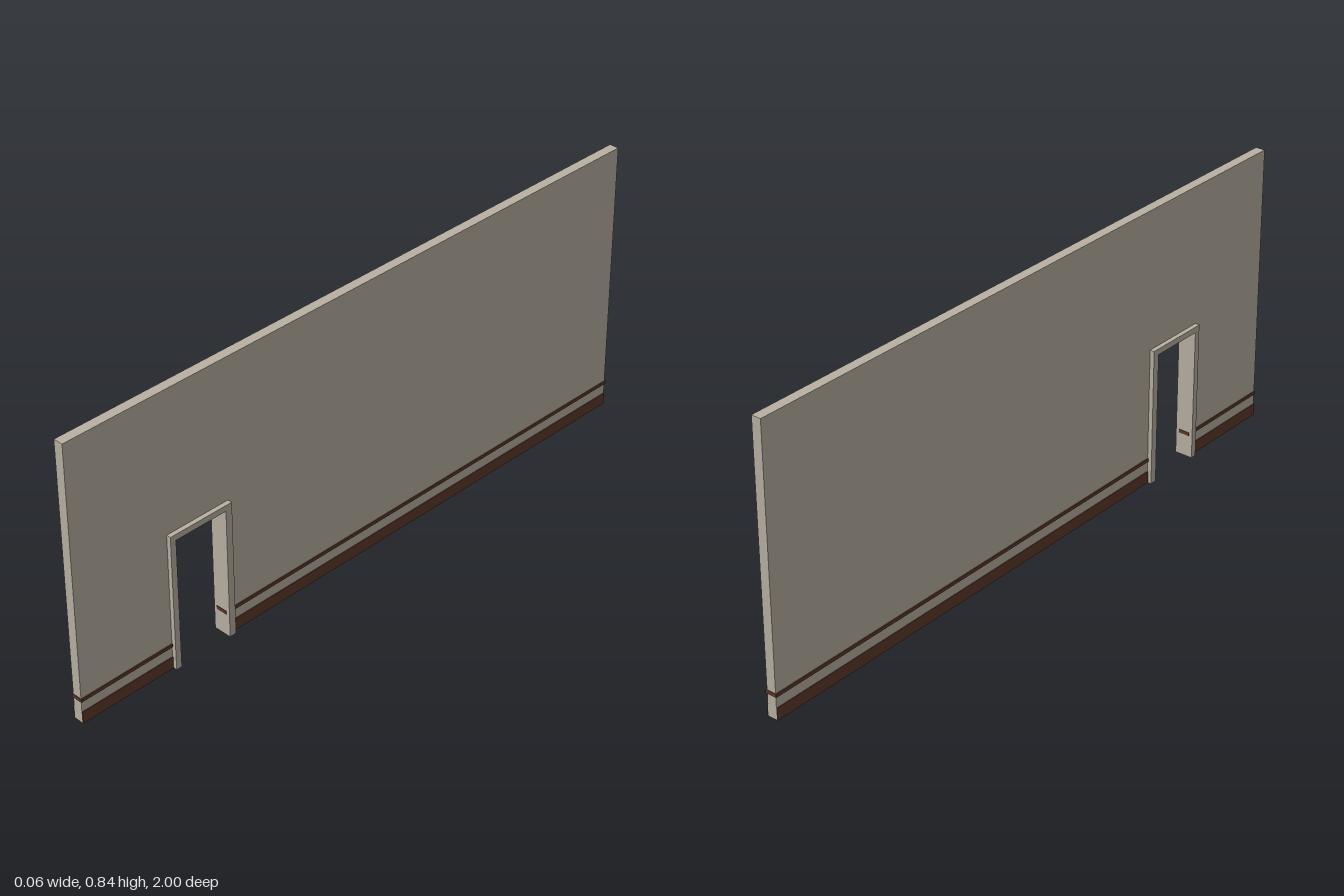
import * as THREE from 'three';

export function createModel() {
  const model = new THREE.Group();
  model.name = 'wallWithDoorway';

  const plaster = new THREE.MeshStandardMaterial({ name: 'warm grey plaster', color: 0xb9b1a3 });
  const wood = new THREE.MeshStandardMaterial({ name: 'brown wood', color: 0x5f3a2c });

  // Doorway: z extents and heights of the casing and the clear opening
  const outer = { z0: 0.487, z1: 0.695, top: 0.418 };
  const inner = { z0: 0.508, z1: 0.677, top: 0.4 };
  const end = 0.998;

  // Side-on outline of an arch (open at the floor), extruded across x
  function archway(name, a, b, top, gap, width) {
    const s = new THREE.Shape();
    [[a, 0], [gap.z0, 0], [gap.z0, gap.top], [gap.z1, gap.top], [gap.z1, 0], [b, 0], [b, top], [a, top]]
      .forEach(([z, y], i) => (i ? s.lineTo(-z, y) : s.moveTo(-z, y)));
    s.closePath();
    const g = new THREE.ExtrudeGeometry(s, { depth: width, bevelEnabled: false });
    g.translate(0, 0, -width / 2);
    g.rotateY(Math.PI / 2); // shape x becomes -z, depth becomes x
    const mesh = new THREE.Mesh(g, plaster);
    mesh.name = name;
    model.add(mesh);
  }

  function box(name, material, x0, x1, y0, y1, z0, z1) {
    const mesh = new THREE.Mesh(new THREE.BoxGeometry(x1 - x0, y1 - y0, z1 - z0), material);
    mesh.position.set((x0 + x1) / 2, (y0 + y1) / 2, (z0 + z1) / 2);
    mesh.name = name;
    model.add(mesh);
  }

  // Wall slab and the thicker door casing
  archway('wall', -end, end, 0.84, { z0: 0.497, z1: 0.685, top: 0.41 }, 0.029);
  archway('doorCasing', outer.z0, outer.z1, outer.top, inner, 0.056);

  // Trim on each wall section; the rail wraps its ends and shows on the jambs
  const sections = [['back', -end, outer.z0], ['front', outer.z1, end]];
  for (const [label, z0, z1] of sections) {
    const back = label === 'back';
    for (const side of [-1, 1]) {
      const xs = [side * 0.0135, side * 0.017].sort((a, b) => a - b);
      box(`${label}Baseboard${side > 0 ? 'Left' : 'Right'}`, wood, xs[0], xs[1], 0, 0.036, z0, z1);
    }
    box(`${label}DadoRail`, wood, -0.0175, 0.0175, 0.068, 0.078,
      back ? -1 : inner.z1 - 0.002, back ? inner.z0 + 0.002 : 1);
  }
  return model;
}
